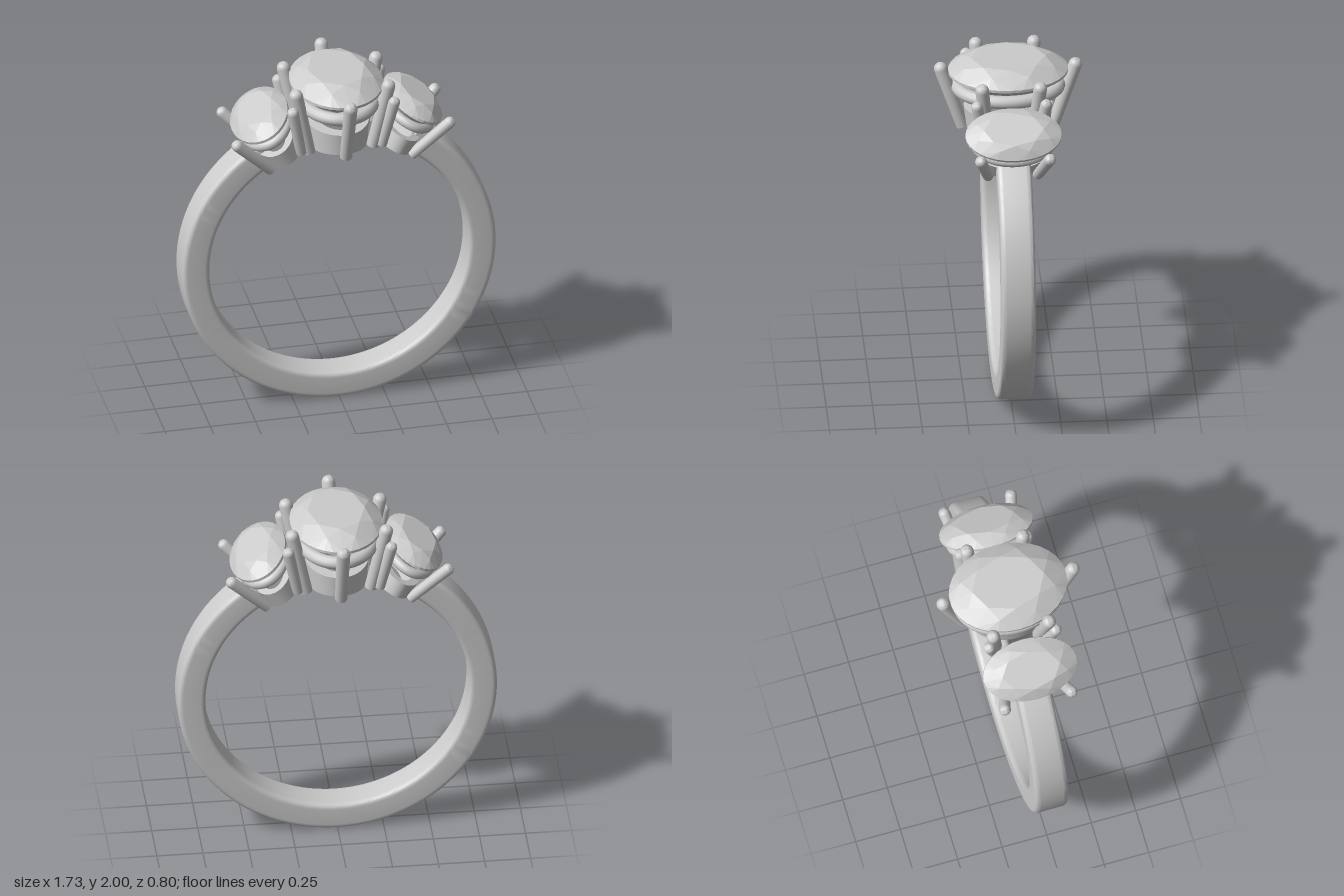
import * as THREE from 'three';
import { toCreasedNormals } from 'three/addons/utils/BufferGeometryUtils.js';
import { ConvexGeometry } from 'three/addons/geometries/ConvexGeometry.js';

const metal = new THREE.MeshStandardMaterial({ color: 0xcccccc });
const gem = new THREE.MeshStandardMaterial({ color: 0xcccccc, flatShading: true });
const CENTRE_Y = 0.868, INNER = 0.715, OUTER = 0.866;

function add(parent, name, geometry, material = metal) {
  const mesh = new THREE.Mesh(geometry, material);
  mesh.name = name;
  parent.add(mesh);
  return mesh;
}

// Move every vertex of a geometry by a rule
function reshape(geometry, rule) {
  const p = geometry.attributes.position, v = new THREE.Vector3();
  for (let i = 0; i < p.count; i++) {
    rule(v.fromBufferAttribute(p, i));
    p.setXYZ(i, v.x, v.y, v.z);
  }
  return toCreasedNormals(geometry, 0.6);
}

// Open band: rounded rectangle swept around the finger, ending at the side settings
function bandGeometry() {
  const w = 0.093, c = 0.03, s = new THREE.Shape();
  s.moveTo(INNER + c, -w);
  s.lineTo(OUTER - c, -w);
  s.quadraticCurveTo(OUTER, -w, OUTER, -w + c);
  s.lineTo(OUTER, w - c);
  s.quadraticCurveTo(OUTER, w, OUTER - c, w);
  s.lineTo(INNER + c, w);
  s.quadraticCurveTo(INNER, w, INNER, w - c);
  s.lineTo(INNER, -w + c);
  s.quadraticCurveTo(INNER, -w, INNER + c, -w);
  const start = THREE.MathUtils.degToRad(30.5);
  const g = new THREE.ExtrudeGeometry(s, {
    depth: 2 * (Math.PI - start), steps: 128, bevelEnabled: false, curveSegments: 6,
  });
  return reshape(g, (v) => {
    const a = v.z + start;
    v.set(v.x * Math.sin(a), CENTRE_Y + v.x * Math.cos(a), v.y);
  });
}

// Oval brilliant cut: table, crown, girdle, pavilion and culet, origin at the girdle
function stoneGeometry(rx, rz, crown, depth) {
  const points = [];
  const ring = (n, r, y, offset = 0) => {
    for (let i = 0; i < n; i++) {
      const a = ((i + offset) / n) * Math.PI * 2;
      points.push(new THREE.Vector3(rx * r * Math.cos(a), y, rz * r * Math.sin(a)));
    }
  };
  ring(8, 0.62, crown);
  ring(8, 0.81, crown * 0.66, 0.5);
  ring(32, 1, 0.005);
  ring(32, 1, -0.01);
  ring(8, 0.35, -depth * 0.68, 0.5);
  points.push(new THREE.Vector3(0, -depth, 0));
  return new ConvexGeometry(points);
}

// Hollow oval collar whose underside follows the finger hole
function collarGeometry(rx, rz, wall, height) {
  const s = new THREE.Shape().absellipse(0, 0, rx, rz, 0, Math.PI * 2);
  s.holes.push(new THREE.Path().absellipse(0, 0, rx - wall, rz - wall, 0, Math.PI * 2));
  const g = new THREE.ExtrudeGeometry(s, {
    depth: height, bevelEnabled: false, curveSegments: 24,
  }).rotateX(-Math.PI / 2);
  return reshape(g, (v) => {
    if (v.y < height / 2) {
      v.y -= (v.x * v.x) / (2 * INNER);
      v.x *= 0.95;
      v.z *= 0.95;
    }
  });
}

// Oval gallery rail under the stone
function railGeometry(rx, rz, r) {
  const pts = [];
  for (let i = 0; i < 24; i++) {
    const a = (i / 24) * Math.PI * 2;
    pts.push(new THREE.Vector3(rx * Math.cos(a), 0, rz * Math.sin(a)));
  }
  return new THREE.TubeGeometry(new THREE.CatmullRomCurve3(pts, true), 64, r, 12, true);
}

// Claw with a flat foot and a round tip
function addProng(parent, foot, tip, r) {
  const dir = tip.clone().sub(foot), len = dir.length();
  const profile = [new THREE.Vector2(0, 0), new THREE.Vector2(r * 0.92, 0)];
  for (let i = 0; i <= 6; i++) {
    const a = (i / 6) * Math.PI / 2;
    profile.push(new THREE.Vector2(i === 6 ? 0 : r * Math.cos(a), len + r * Math.sin(a)));
  }
  const g = toCreasedNormals(new THREE.LatheGeometry(profile, 16), 0.8);
  const mesh = add(parent, 'prong', g);
  mesh.position.copy(foot);
  mesh.quaternion.setFromUnitVectors(new THREE.Vector3(0, 1, 0), dir.normalize());
}

function makeSetting(name, o) {
  const g = new THREE.Group();
  g.name = name;
  add(g, 'stone', stoneGeometry(...o.stone), gem).position.y = o.girdle;
  add(g, 'collar', collarGeometry(...o.collar));
  add(g, 'galleryRail', railGeometry(...o.rail)).position.y = o.railY;
  for (const [foot, tip] of o.prongs) {
    for (const sx of foot[0] ? [-1, 1] : [1]) {
      for (const sz of [-1, 1]) {
        const flip = ([x, y, z]) => new THREE.Vector3(x * sx, y, z * sz);
        addProng(g, flip(foot), flip(tip), o.prongRadius);
      }
    }
  }
  return g;
}

export function createModel() {
  const model = new THREE.Group();
  model.name = 'threeStoneRing';
  add(model, 'band', bandGeometry());

  // Large middle stone with six claws
  const centre = makeSetting('centreSetting', {
    stone: [0.25, 0.325, 0.075, 0.21], girdle: 0.34,
    collar: [0.175, 0.24, 0.065, 0.125],
    rail: [0.2, 0.275, 0.036], railY: 0.245,
    prongRadius: 0.037,
    prongs: [
      [[0, 0, 0.248], [0, 0.355, 0.364]],
      [[0.175, -0.02, 0.12], [0.255, 0.355, 0.157]],
    ],
  });
  centre.position.y = 1.585;
  model.add(centre);

  // Smaller tilted stones with four claws each
  for (const side of [-1, 1]) {
    const s = makeSetting(side > 0 ? 'leftSetting' : 'rightSetting', {
      stone: [0.168, 0.26, 0.055, 0.15], girdle: 0.255,
      collar: [0.115, 0.195, 0.045, 0.095],
      rail: [0.127, 0.205, 0.028], railY: 0.185,
      prongRadius: 0.032,
      prongs: [[[0.094, 0, 0.135], [0.174, 0.272, 0.187]]],
    });
    s.position.set(side * 0.305, 1.53, 0);
    s.rotation.z = -side * THREE.MathUtils.degToRad(28);
    model.add(s);
  }
  return model;
}
